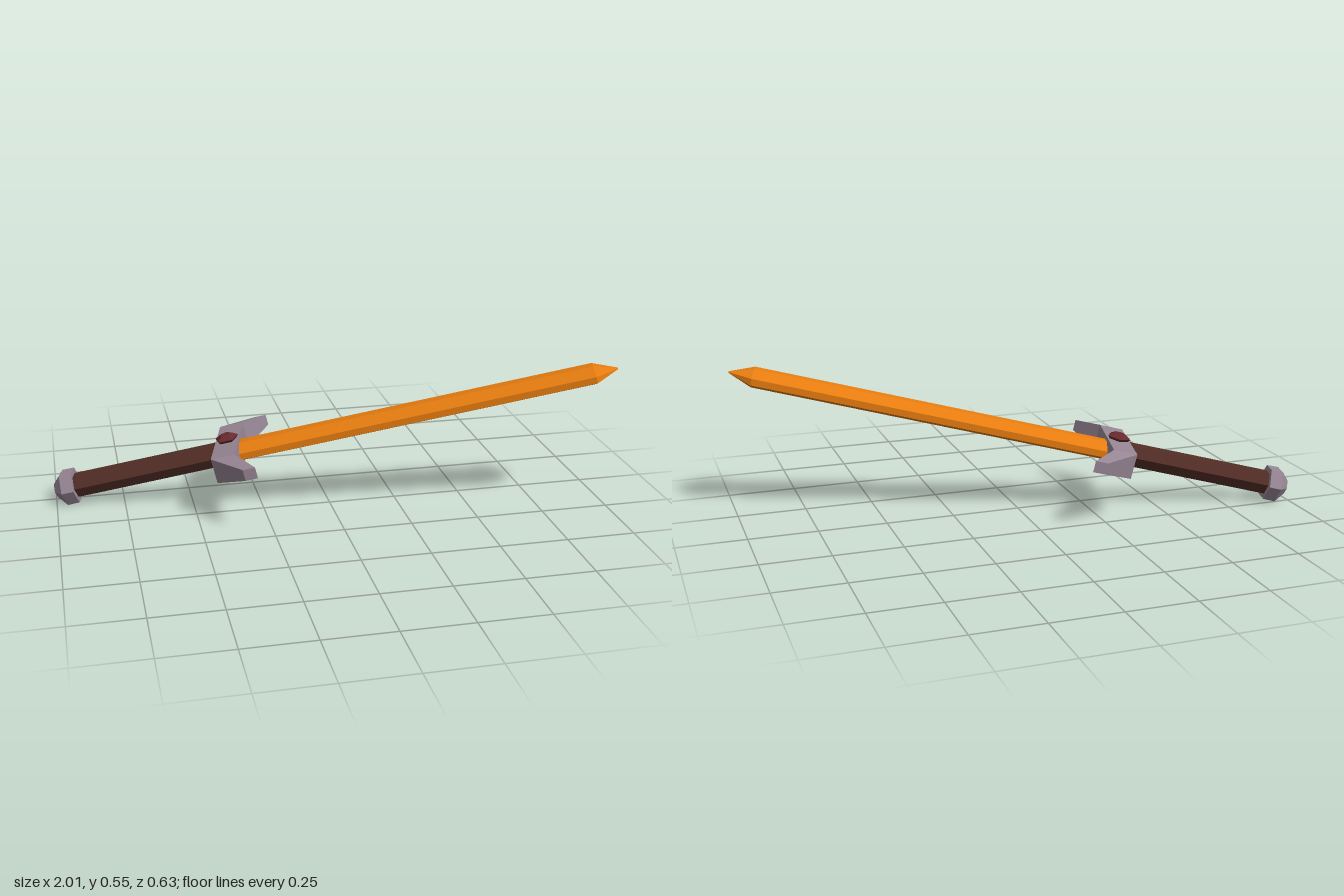
import * as THREE from 'three';

// Flat-faced skin over a list of rings (counterclockwise seen from the far end), capped at both ends
function loft(rings) {
  const pos = [];
  const tri = (a, b, c) => pos.push(...a, ...b, ...c);
  const n = rings[0].length;
  for (let i = 0; i < rings.length - 1; i++) {
    const a = rings[i], b = rings[i + 1];
    for (let j = 0; j < n; j++) {
      const k = (j + 1) % n;
      tri(a[j], a[k], b[k]);
      tri(a[j], b[k], b[j]);
    }
  }
  const first = rings[0], last = rings[rings.length - 1];
  for (let j = 1; j < n - 1; j++) {
    tri(first[0], first[j + 1], first[j]);
    tri(last[0], last[j], last[j + 1]);
  }
  const g = new THREE.BufferGeometry();
  g.setAttribute('position', new THREE.Float32BufferAttribute(pos, 3));
  g.computeVertexNormals();
  return g;
}

// Hexagon across the x axis with corners at +z and -z
function hexRing(x, r) {
  return Array.from({ length: 6 }, (_, i) => {
    const a = Math.PI / 6 + (i * Math.PI) / 3;
    return [x, r * Math.cos(a), r * Math.sin(a)];
  });
}

// Pentagon across the y axis with one corner at -z
function pentRing(x, y, r) {
  return Array.from({ length: 5 }, (_, i) => {
    const a = Math.PI + (i * Math.PI * 2) / 5;
    return [x + r * Math.sin(a), y, r * Math.cos(a)];
  });
}

// Eight-sided blade section: thin edges, thicker flat ridge
function bladeRing(x, s) {
  const section = [
    [0.034, -0.02], [0.034, 0.02], [0.012, 0.077], [-0.012, 0.077],
    [-0.034, 0.02], [-0.034, -0.02], [-0.012, -0.077], [0.012, -0.077],
  ];
  return section.map(([y, z]) => [x, y * s, z * s]);
}

// Rectangle across the z axis
const rectRing = (z, x0, x1, h) => [[x0, -h, z], [x1, -h, z], [x1, h, z], [x0, h, z]];

export function createModel() {
  const mat = (name, color) => {
    const m = new THREE.MeshStandardMaterial({ color });
    m.name = name;
    return m;
  };
  const orange = mat('orange blade', 0xe87d10);
  const grey = mat('mauve grey metal', 0x978694);
  const brown = mat('dark brown grip', 0x522e26);
  const red = mat('dark red gem', 0x682a2e);

  const sword = new THREE.Group();
  sword.name = 'sword';
  const add = (name, rings, material) => {
    const mesh = new THREE.Mesh(loft(rings), material);
    mesh.name = name;
    sword.add(mesh);
  };

  // The sword is laid out along x, with the crossguard along z
  add('blade', [bladeRing(-0.36, 1), bladeRing(0.971, 1), bladeRing(1.058, 0.08)], orange);
  add('crossguard', [
    rectRing(-0.268, -0.305, -0.26, 0.021),
    rectRing(-0.165, -0.425, -0.337, 0.047),
    rectRing(0.165, -0.425, -0.337, 0.047),
    rectRing(0.268, -0.305, -0.26, 0.021),
  ], grey);
  add('grip', [hexRing(-1.0, 0.046), hexRing(-0.4, 0.046)], brown);
  add('pommel', [hexRing(-1.056, 0.03), hexRing(-1.022, 0.068), hexRing(-0.977, 0.067)], grey);
  add('gem', [pentRing(-0.381, 0.044, 0.034), pentRing(-0.381, 0.057, 0.045), pentRing(-0.381, 0.071, 0.023)], red);

  // Tilt the point up and towards the front
  sword.rotation.set(0, -0.241, 0.235, 'YZX');
  sword.position.set(0, 0.298, 0.018);

  const model = new THREE.Group();
  model.name = 'model';
  model.add(sword);
  return model;
}
